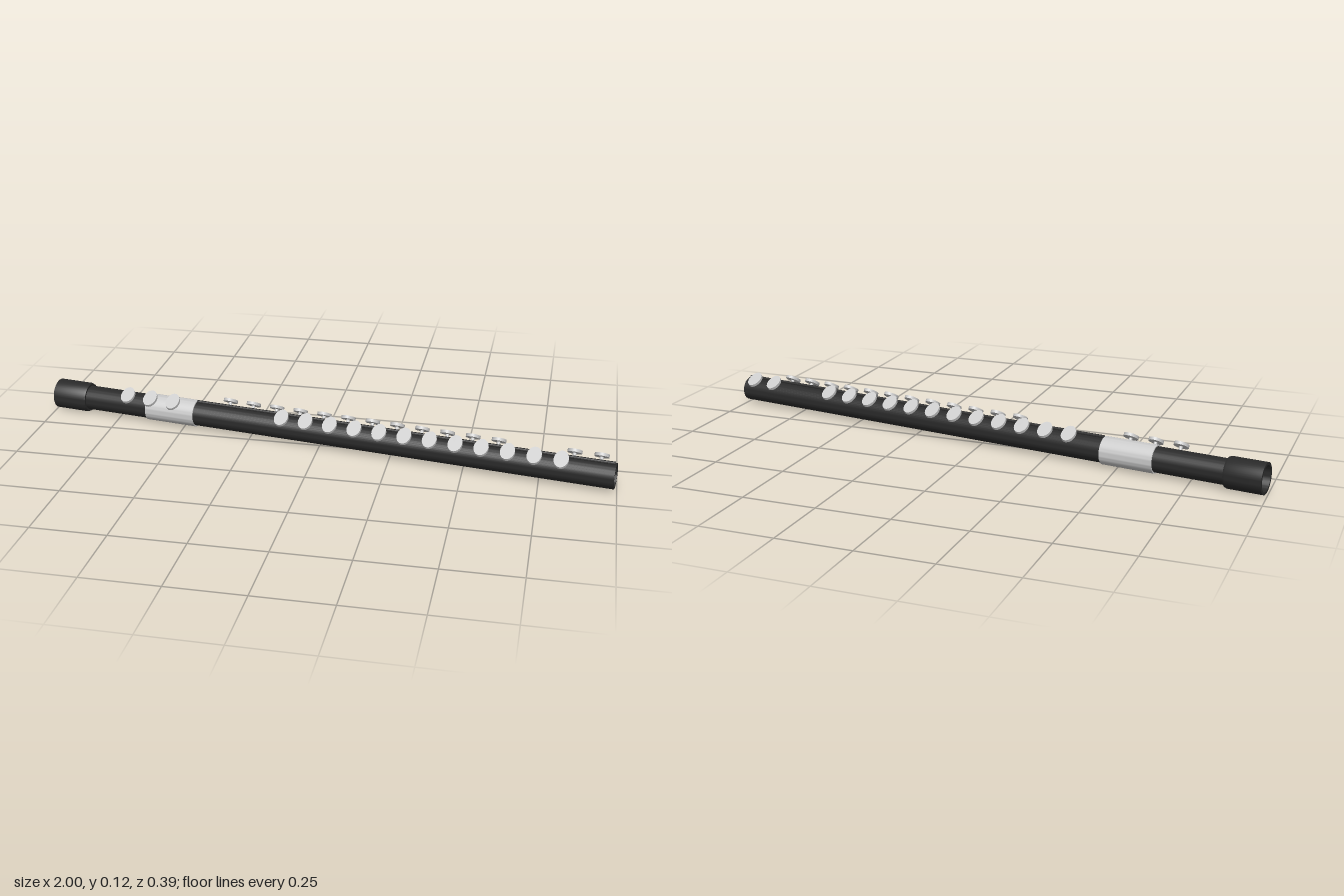
import * as THREE from 'three';
import { toCreasedNormals } from 'three/addons/utils/BufferGeometryUtils.js';

const dark = new THREE.MeshStandardMaterial({ color: 0x2a2a2a, side: THREE.DoubleSide });
const grey = new THREE.MeshStandardMaterial({ color: 0xcccccc, side: THREE.DoubleSide });

// Hollow turned section along x; profile is a list of [radius, x], closed to a ring.
function section(name, profile, material) {
  const pts = [...profile, profile[0]].map(([r, x]) => new THREE.Vector2(r, x));
  const geo = new THREE.LatheGeometry(pts, 48);
  geo.rotateZ(-Math.PI / 2);
  const mesh = new THREE.Mesh(toCreasedNormals(geo, 0.6), material);
  mesh.name = name;
  return mesh;
}

// Oval key on a short post, leaning out to one side (+1 front, -1 back).
const padGeo = toCreasedNormals(new THREE.CylinderGeometry(1, 1, 0.01, 32), 0.6);
padGeo.scale(0.024, 1, 0.032);
const postGeo = toCreasedNormals(new THREE.CylinderGeometry(0.006, 0.006, 0.024, 12), 0.6);
function key(x, side) {
  const group = new THREE.Group();
  group.name = 'key';
  const pad = new THREE.Mesh(padGeo, grey);
  pad.name = 'keyPad';
  const post = new THREE.Mesh(postGeo, grey);
  post.name = 'keyPost';
  post.position.y = -0.015;
  group.add(pad, post);
  group.position.set(x, 0.048, side * 0.039);
  group.rotation.x = side * 0.56;
  return group;
}

export function createModel() {
  const model = new THREE.Group();
  model.name = 'flute';
  const flute = new THREE.Group();
  flute.name = 'instrument';

  // Tube sections, from the crown end to the foot
  flute.add(
    section('endCap', [[0.052, -1.003], [0.052, -0.885], [0.049, -0.878], [0.037, -0.878], [0.043, -1.003]], dark),
    section('headJoint', [[0.0425, -0.9], [0.0425, -0.62], [0.036, -0.62], [0.036, -0.9]], dark),
    section('ferrule', [[0.047, -0.64], [0.047, -0.457], [0.037, -0.457], [0.037, -0.64]], grey),
    section('body', [[0.0425, -0.47], [0.0425, 1.004], [0.036, 1.004], [0.036, -0.47]], dark)
  );

  // Rail along the top of the body
  const rail = new THREE.Mesh(toCreasedNormals(new THREE.CylinderGeometry(0.006, 0.006, 1.455, 12), 0.6), dark);
  rail.name = 'keyRail';
  rail.rotation.z = Math.PI / 2;
  rail.position.set(0.2725, 0.0445, 0);
  flute.add(rail);

  // Keys: [first x, count, side]
  for (const [start, count, side] of [[-0.707, 3, 1], [-0.125, 12, 1], [-0.345, 12, -1], [0.863, 2, -1]]) {
    for (let i = 0; i < count; i++) flute.add(key(start + i * 0.0871, side));
  }

  flute.rotation.y = -0.148;
  flute.position.y = 0.052;
  model.add(flute);
  return model;
}
